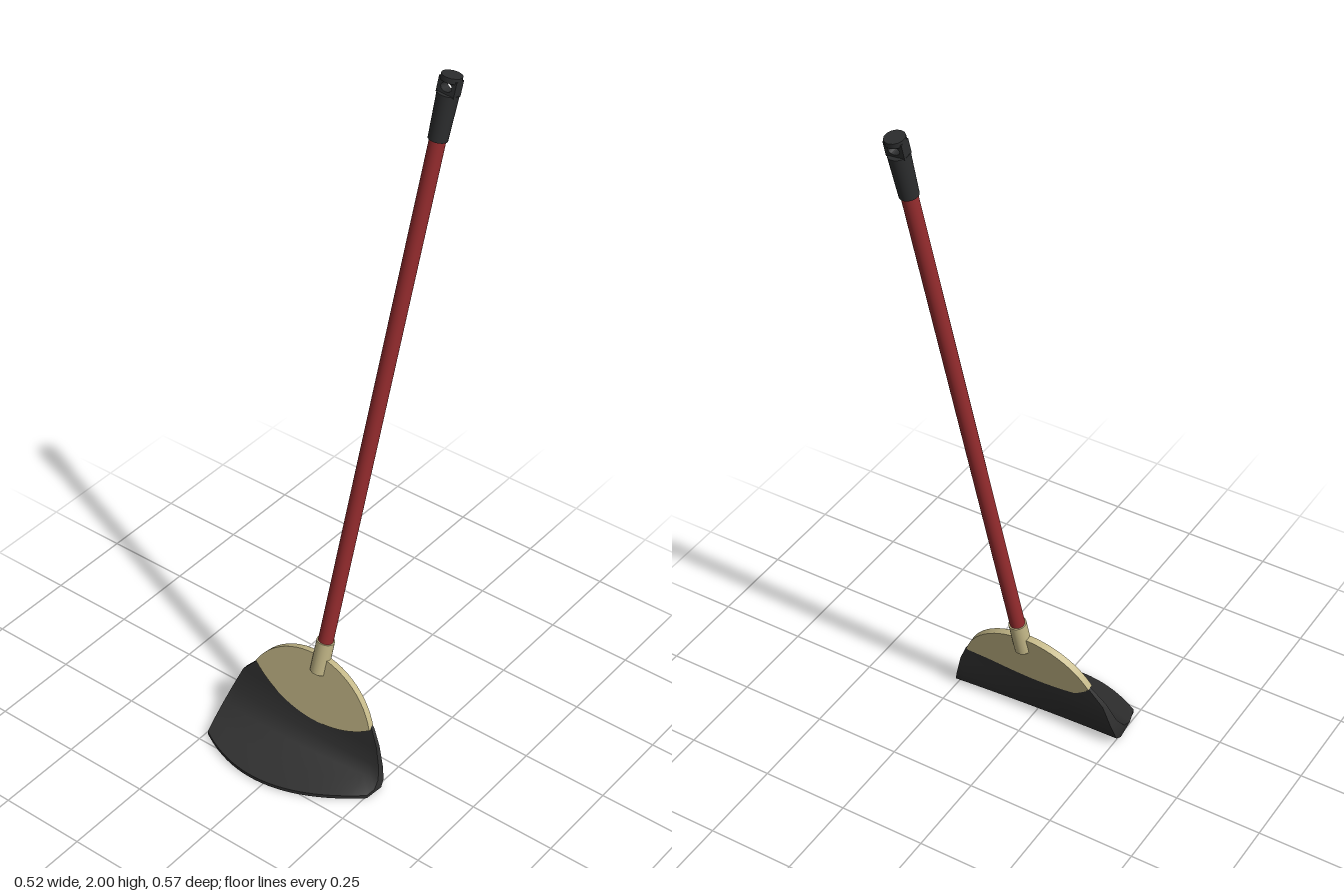
import * as THREE from 'three';
import { toCreasedNormals } from 'three/addons/utils/BufferGeometryUtils.js';

const mat = (name, color) => {
  const m = new THREE.MeshStandardMaterial({ color });
  m.name = name;
  return m;
};

function add(parent, name, geometry, material, y = 0, z = 0) {
  const mesh = new THREE.Mesh(geometry, material);
  mesh.name = name;
  mesh.position.set(0, y, z);
  parent.add(mesh);
  return mesh;
}

// cylinder between two heights on the handle axis
const rod = (parent, name, material, y0, y1, r0, r1, sides = 24) =>
  add(parent, name, new THREE.CylinderGeometry(r1, r0, y1 - y0, sides), material, (y0 + y1) / 2);

// Bristle rows from the cap down and forward to the tip:
// [x left, x right, y left, y right, z left, z middle, z right]
const FRONT = [
  [-0.165, 0.19, 0.22, 0.19, 0.064, 0.066, 0.064],
  [-0.185, 0.21, 0.2, 0.165, 0.07, 0.073, 0.07],
  [-0.23, 0.23, 0.15, 0.115, 0.08, 0.084, 0.076],
  [-0.254, 0.245, 0.085, 0.06, 0.1, 0.1, 0.085],
  [-0.262, 0.255, 0.045, 0.03, 0.13, 0.13, 0.1],
  [-0.258, 0.262, 0.022, 0.018, 0.17, 0.2, 0.125],
  [-0.24, 0.255, 0.015, 0.01, 0.225, 0.28, 0.15],
];
const BACK = [
  [-0.165, 0.19, 0.22, 0.19, 0.058, 0.056, 0.058],
  [-0.185, 0.21, 0.2, 0.165, 0.06, 0.06, 0.06],
  [-0.23, 0.23, 0.15, 0.115, 0.063, 0.066, 0.063],
  [-0.254, 0.245, 0.08, 0.05, 0.07, 0.075, 0.066],
  [-0.262, 0.255, 0.03, 0.015, 0.087, 0.085, 0.075],
  [-0.258, 0.262, 0.006, 0.003, 0.12, 0.12, 0.095],
  [-0.24, 0.255, 0.005, 0, 0.225, 0.28, 0.15],
];

function bristleGeometry(n = 24) {
  const pos = [], index = [], ring = 2 * n;
  const point = ([xl, xr, yl, yr, zl, zm, zr], u) => {
    const s = 2 * u - 1;
    const z = zm + s * (zr - zl) / 2 + s * s * ((zl + zr) / 2 - zm);
    pos.push(xl + (xr - xl) * u, yl + (yr - yl) * u, z);
  };
  FRONT.forEach((row, k) => {
    for (let i = 0; i < n; i++) point(row, i / (n - 1));
    for (let i = n - 1; i >= 0; i--) point(BACK[k], i / (n - 1));
  });
  const quad = (a, b, c, d) => index.push(a, b, c, a, c, d);
  for (let k = 0; k < FRONT.length - 1; k++) {
    for (let i = 0; i < ring; i++) {
      const j = (i + 1) % ring, r = k * ring;
      quad(r + i, r + ring + i, r + ring + j, r + j);
    }
  }
  // thin edge along the tip
  const t = (FRONT.length - 1) * ring;
  for (let i = 0; i < n - 1; i++) quad(t + i, t + ring - 1 - i, t + ring - 2 - i, t + i + 1);
  const g = new THREE.BufferGeometry();
  g.setAttribute('position', new THREE.Float32BufferAttribute(pos, 3));
  g.setIndex(index);
  return toCreasedNormals(g, 0.7);
}

// lens outline made of a high upper arc and a shallow lower arc
function capGeometry(half = 0.198, rise = 0.131, drop = 0.073, depth = 0.02) {
  const arc = (sag, sign, from) => {
    const r = (half * half + sag * sag) / (2 * sag);
    return Array.from({ length: 24 }, (_, i) => {
      const a = from * Math.asin(half / r) * (1 - i / 12);
      return new THREE.Vector2(r * Math.sin(a), sign * (r * Math.cos(a) - r + sag));
    });
  };
  const shape = new THREE.Shape([...arc(rise, 1, 1), ...arc(drop, -1, -1)]);
  const g = new THREE.ExtrudeGeometry(shape, { depth, bevelEnabled: false });
  g.translate(0, 0, -depth / 2);
  return toCreasedNormals(g, 0.6);
}

// grip neck with the hanging hole
function neckGeometry(w = 0.052, h = 0.042, depth = 0.03) {
  const shape = new THREE.Shape();
  shape.moveTo(-w / 2, -h / 2).lineTo(w / 2, -h / 2).lineTo(w / 2, h / 2).lineTo(-w / 2, h / 2);
  const hole = new THREE.Path();
  hole.absellipse(0, 0, 0.016, 0.012, 0, Math.PI * 2, true);
  shape.holes.push(hole);
  return new THREE.ExtrudeGeometry(shape, { depth, bevelEnabled: false, curveSegments: 10 });
}

export function createModel() {
  const red = mat('red pole', 0x962c2e);
  const tan = mat('tan plastic', 0xc4b888);
  const black = mat('black grip', 0x2c2d2e);
  const dark = mat('dark bristle', 0x2e2e2e);

  const model = new THREE.Group();
  model.name = 'broom';
  add(model, 'bristles', bristleGeometry(), dark);

  // everything on the leaning handle axis
  const handle = new THREE.Group();
  handle.name = 'handle';
  handle.position.set(0.01, 0.183, 0.068);
  handle.quaternion.setFromUnitVectors(
    new THREE.Vector3(0, 1, 0), new THREE.Vector3(0.09, 1, -0.18).normalize());
  model.add(handle);

  add(handle, 'cap', capGeometry(), tan);
  rod(handle, 'socket', tan, 0.08, 0.182, 0.025, 0.025);
  rod(handle, 'pole', red, 0.15, 1.7, 0.021, 0.021);
  rod(handle, 'grip', black, 1.68, 1.802, 0.025, 0.028);
  add(handle, 'gripNeck', neckGeometry(), black, 1.82, -0.015);
  rod(handle, 'gripTop', black, 1.835, 1.849, 0.027, 0.027, 14);
  return model;
}
